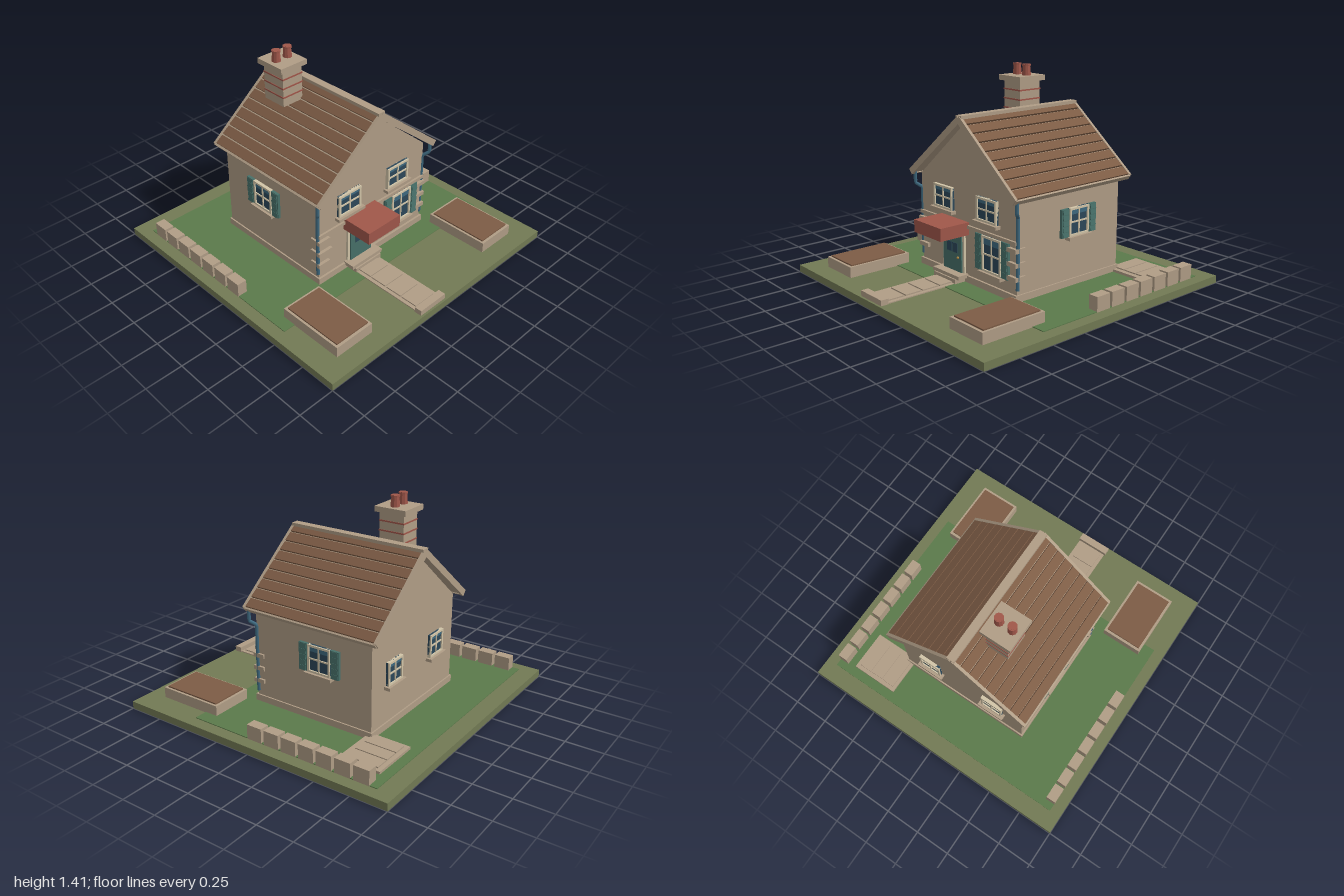
import * as THREE from 'three';

const mat = (name, color, side = THREE.FrontSide) => {
  const m = new THREE.MeshStandardMaterial({ color, side });
  m.name = name;
  return m;
};

export function createModel() {
  const root = new THREE.Group();
  root.name = 'cottage';
  const ground = mat('olive ground', 0x727a54);
  const grass = mat('lawn green', 0x5b7a4b);
  const stone = mat('tan stone', 0xb09d86);
  const brown = mat('roof brown', 0x7d5c45);
  const red = mat('brick red', 0xa0574a);
  const teal = mat('painted teal', 0x477069);
  const pipeBlue = mat('pipe blue', 0x3f6a80);
  const glass = mat('dark glass', 0x2c485a);
  const cream = mat('cream frame', 0xd2c5a8);
  const brass = mat('brass', 0xb08a45);

  // box given by its limits on each axis
  const box = (parent, name, m, x0, x1, y0, y1, z0, z1) => {
    const b = new THREE.Mesh(new THREE.BoxGeometry(x1 - x0, y1 - y0, z1 - z0), m);
    b.position.set((x0 + x1) / 2, (y0 + y1) / 2, (z0 + z1) / 2);
    b.name = name;
    parent.add(b);
    return b;
  };
  const group = (name, parent = root) => {
    const g = new THREE.Group();
    g.name = name;
    parent.add(g);
    return g;
  };

  // ground and lawn
  box(root, 'ground', ground, -1, 1, 0, 0.05, -1, 1);
  box(root, 'lawn', grass, -0.92, 0.92, 0.05, 0.055, -0.88, 0.5);

  // walls with gables
  const outline = new THREE.Shape([[-0.47, 0.05], [0.5, 0.05], [0.5, 0.7], [0.015, 1.108], [-0.47, 0.7]]
    .map(p => new THREE.Vector2(...p)));
  const walls = new THREE.Mesh(new THREE.ExtrudeGeometry(outline, { depth: 0.89, bevelEnabled: false }), stone);
  walls.position.z = -0.56;
  walls.name = 'walls';
  root.add(walls);
  box(root, 'plinth', stone, -0.48, 0.51, 0.05, 0.1, -0.57, 0.345);
  box(root, 'bandCourse', stone, -0.475, 0.505, 0.42, 0.442, 0.32, 0.345);

  // corner stones
  [[0.19, 0.085], [0.28, 0.105], [0.37, 0.085]].forEach(([y, w]) => {
    box(root, 'cornerStone', stone, -0.484, -0.484 + w + 0.01, y, y + 0.028, 0.27, 0.352);
    box(root, 'cornerStone', stone, 0.514 - w - 0.01, 0.514, y, y + 0.028, 0.27, 0.352);
  });

  // roof slopes with tile rows
  const roof = group('roof');
  roof.position.set(0.015, 1.14, -0.115);
  const pitch = Math.atan2(0.43, 0.535), len = 0.685, rows = 9;
  for (const turn of [0, Math.PI]) {
    const side = group('roofSide', roof);
    side.rotation.y = turn;
    const slope = group('roofSlope', side);
    slope.rotation.z = -pitch;
    box(slope, 'roofSlab', stone, 0, len, -0.02, 0, -0.49, 0.49);
    const step = len / rows;
    for (let i = 0; i < rows; i++) {
      const row = box(slope, 'tileRow', brown, i * step, (i + 0.87) * step, -0.004, 0.012, -0.488, 0.488);
      row.rotation.z = 0.06;
    }
    for (const s of [-1, 1]) {
      const z = s * 0.498;
      box(slope, 'bargeBoard', stone, 0, len, -0.03, 0.014, z - 0.01, z + 0.01);
    }
    box(slope, 'eaveBoard', stone, len - 0.006, len + 0.006, -0.026, 0.01, -0.5, 0.5);
  }
  box(roof, 'ridgeCap', stone, -0.028, 0.028, -0.012, 0.014, -0.503, 0.503);

  // chimney
  box(root, 'chimneyStack', stone, -0.25, -0.09, 1.05, 1.305, -0.395, -0.215);
  for (const y of [1.115, 1.178, 1.242])
    box(root, 'brickBand', red, -0.253, -0.087, y - 0.005, y + 0.005, -0.398, -0.212);
  box(root, 'chimneyCap', stone, -0.28, -0.065, 1.3, 1.336, -0.42, -0.192);
  for (const x of [-0.22, -0.127]) {
    const pot = new THREE.Mesh(new THREE.CylinderGeometry(0.024, 0.031, 0.076, 10), red);
    pot.material.flatShading = true;
    pot.position.set(x, 1.374, -0.306);
    pot.name = 'chimneyPot';
    root.add(pot);
    const mouth = new THREE.Mesh(new THREE.CylinderGeometry(0.03, 0.03, 0.012, 10), red);
    mouth.position.set(x, 1.405, -0.306);
    mouth.name = 'potRim';
    root.add(mouth);
  }

  // window facing +z: centre at x = 0, sill top at y = 0
  const addWindow = (pos, turn, w, h, shutters) => {
    const g = group('window');
    g.position.set(...pos);
    g.rotation.y = turn;
    const a = w / 2, f = 0.014;
    box(g, 'glass', glass, -a, a, 0, h, -0.01, 0.014);
    box(g, 'glassReflection', pipeBlue, -a + f, a - f, h * 0.76, h - f, 0.012, 0.017);
    for (const s of [-1, 1]) {
      const x = s * (a - f / 2);
      box(g, 'frameSide', cream, x - f / 2, x + f / 2, 0, h, -0.01, 0.024);
      if (!shutters) continue;
      const c = s * (a + 0.036);
      box(g, 'shutter', teal, c - 0.031, c + 0.031, 0, h, -0.01, 0.02);
      for (let i = 0; i < 5; i++) {
        const y = h * (i + 0.5) / 5;
        const slat = box(g, 'shutterSlat', teal, c - 0.024, c + 0.024, y - h * 0.08, y + h * 0.08, 0.018, 0.026);
        slat.rotation.x = -0.2;
      }
    }
    box(g, 'frameTop', cream, -a, a, h - f, h, -0.01, 0.024);
    box(g, 'frameBottom', cream, -a, a, 0, f, -0.01, 0.024);
    box(g, 'mullion', cream, -0.005, 0.005, 0, h, 0, 0.021);
    box(g, 'crossBar', cream, -a, a, h * 0.47, h * 0.47 + 0.01, 0, 0.021);
    box(g, 'sill', stone, -a - 0.018, a + 0.018, -0.02, 0.001, -0.01, 0.042);
  };
  const front = 0.33, back = -0.56;
  addWindow([-0.212, 0.505, front], 0, 0.195, 0.155);
  addWindow([0.233, 0.505, front], 0, 0.195, 0.155);
  addWindow([0.28, 0.183, front], 0, 0.182, 0.235, true);
  addWindow([0.5, 0.39, -0.18], Math.PI / 2, 0.17, 0.187, true);
  addWindow([-0.47, 0.39, -0.18], -Math.PI / 2, 0.17, 0.187, true);
  addWindow([0.265, 0.352, back], Math.PI, 0.16, 0.158);
  addWindow([-0.235, 0.352, back], Math.PI, 0.16, 0.158);

  // door, canopy and steps
  box(root, 'doorFrame', cream, -0.225, 0.002, 0.1, 0.372, 0.32, 0.345);
  box(root, 'door', teal, -0.206, -0.016, 0.105, 0.355, 0.33, 0.355);
  for (const x of [-0.165, -0.106])
    box(root, 'doorPane', glass, x, x + 0.052, 0.235, 0.3, 0.354, 0.358);
  const knob = new THREE.Mesh(new THREE.SphereGeometry(0.009, 10, 8), brass);
  knob.position.set(-0.045, 0.207, 0.361);
  knob.name = 'doorKnob';
  root.add(knob);
  box(root, 'canopy', red, -0.25, 0.035, 0.375, 0.46, 0.33, 0.555);
  box(root, 'lowerStep', stone, -0.225, 0.008, 0.05, 0.085, 0.33, 0.425);
  box(root, 'upperStep', stone, -0.245, 0.028, 0.083, 0.108, 0.33, 0.415);

  // garden path
  box(root, 'pathBase', stone, -0.218, -0.002, 0.05, 0.057, 0.42, 0.935);
  for (let i = 0; i < 4; i++)
    box(root, 'pathSlab', stone, -0.193, -0.028, 0.05, 0.065, 0.402 + i * 0.131, 0.522 + i * 0.131);
  box(root, 'gateStep', stone, -0.225, 0.003, 0.05, 0.087, 0.933, 0.985);

  // planting beds
  for (const x of [-0.69, 0.683]) {
    box(root, 'bedWall', stone, x - 0.147, x + 0.147, 0.05, 0.123, 0.405, 0.87);
    box(root, 'bedSoil', brown, x - 0.131, x + 0.131, 0.1, 0.132, 0.424, 0.851);
  }

  // patio behind the house
  box(root, 'patioBase', stone, 0.46, 0.795, 0.05, 0.072, -0.815, -0.525);
  for (let i = 0; i < 3; i++)
    box(root, 'patioSlab', stone, 0.483 + i * 0.098, 0.573 + i * 0.098, 0.06, 0.08, -0.785, -0.56);

  // side walls of separate blocks
  for (const x of [-0.888, 0.888])
    for (let i = 0; i < 7; i++) {
      const z = 0.01 - i * 0.1305;
      box(root, 'wallBlock', stone, x - 0.034, x + 0.034, 0.05, 0.148, z - 0.055, z + 0.055);
    }

  // drainpipes at the front corners
  for (const s of [-1, 1]) {
    const points = [[0.52, 0.715, 0.36], [0.52, 0.625, 0.36], [0.488, 0.595, 0.325], [0.488, 0.13, 0.325]]
      .map(([x, y, z]) => new THREE.Vector3(0.015 + s * x, y, z));
    const path = new THREE.CurvePath();
    for (let i = 0; i < 3; i++) path.add(new THREE.LineCurve3(points[i], points[i + 1]));
    const pipe = new THREE.Mesh(new THREE.TubeGeometry(path, 40, 0.012, 8), pipeBlue);
    pipe.name = 'drainpipe';
    root.add(pipe);
  }
  return root;
}
